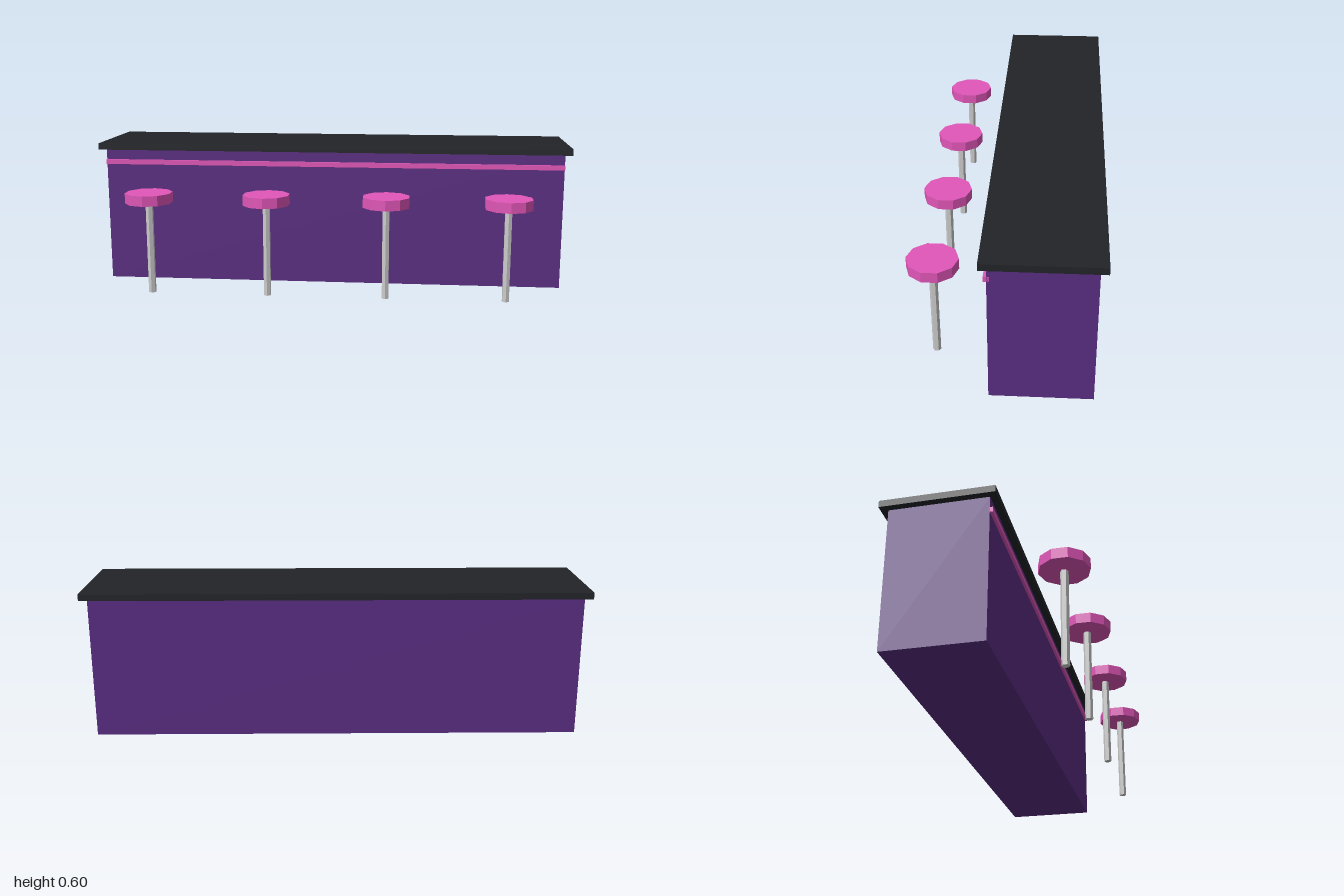
import * as THREE from 'three';

const material = (color) => new THREE.MeshStandardMaterial({ color, flatShading: true });

function addMesh(parent, name, geometry, mat, x, y, z) {
  const mesh = new THREE.Mesh(geometry, mat);
  mesh.name = name;
  mesh.position.set(x, y, z);
  parent.add(mesh);
  return mesh;
}

export function createModel() {
  const model = new THREE.Group();
  model.name = 'barCounterWithStools';

  const purple = material(0x5a2d82);
  const black = material(0x222428);
  const pink = material(0xe056b8);
  const metal = material(0xcccccc);

  // Counter: body, overhanging top and front trim strip
  const counter = new THREE.Group();
  counter.name = 'counter';
  model.add(counter);
  addMesh(counter, 'counterBody', new THREE.BoxGeometry(1.946, 0.57, 0.379), purple, 0, 0.285, -0.1425);
  addMesh(counter, 'counterTop', new THREE.BoxGeometry(2, 0.027, 0.433), black, 0, 0.5835, -0.1435);
  addMesh(counter, 'trimStrip', new THREE.BoxGeometry(1.946, 0.02, 0.021), pink, 0, 0.516, 0.0475);

  // Row of four stools in front of the counter
  const seatGeometry = new THREE.CylinderGeometry(0.097, 0.097, 0.042, 10);
  const poleGeometry = new THREE.CylinderGeometry(0.0157, 0.0157, 0.381, 6);
  for (let i = 0; i < 4; i++) {
    const stool = new THREE.Group();
    stool.name = `stool${i + 1}`;
    stool.position.set((i - 1.5) * 0.4865, 0, 0.2635);
    addMesh(stool, 'seat', seatGeometry, pink, 0, 0.402, 0);
    addMesh(stool, 'pole', poleGeometry, metal, 0, 0.1905, 0);
    model.add(stool);
  }

  return model;
}
